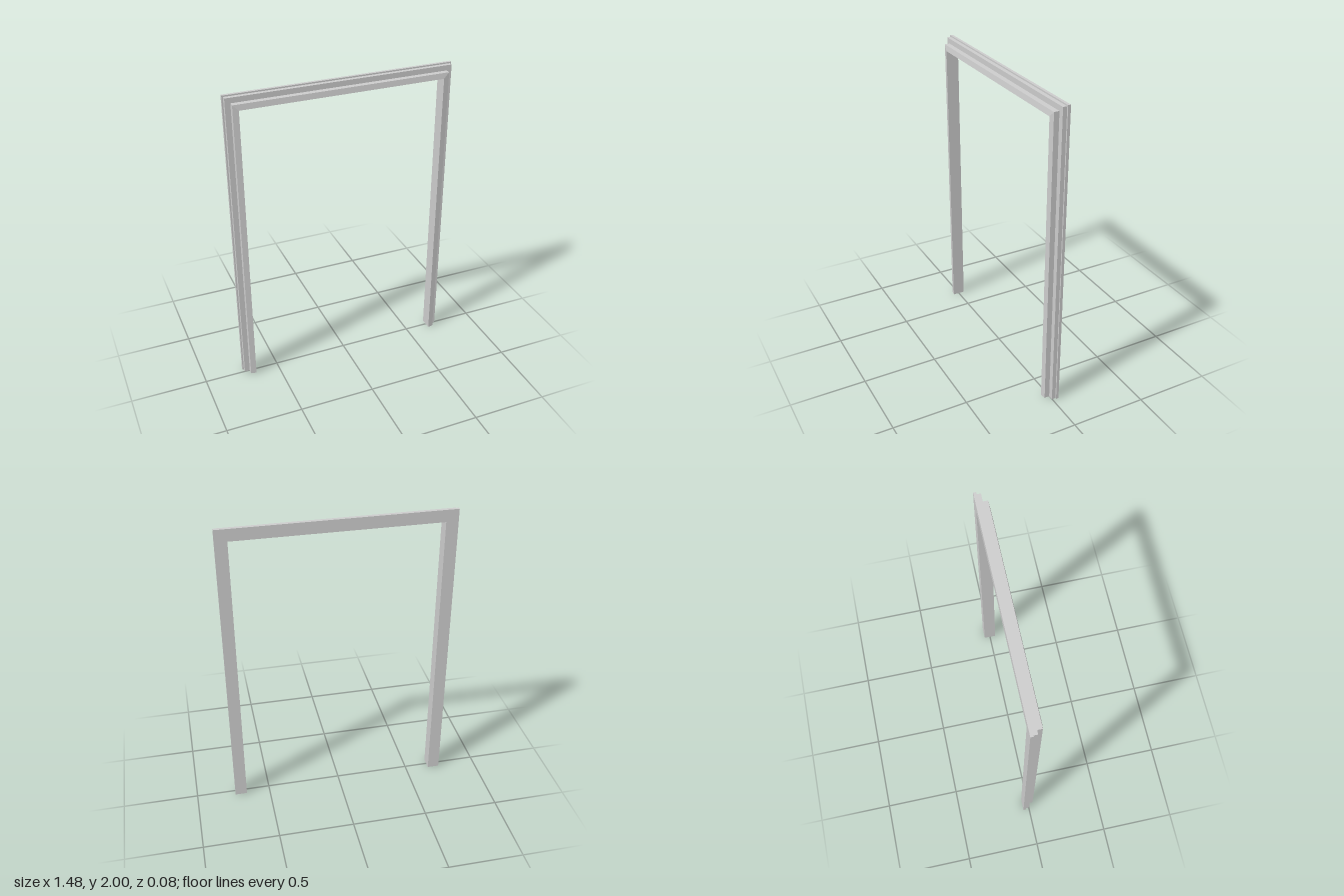
import * as THREE from 'three';

// Clear opening of the doorway
const HALF_WIDTH = 0.66;
const HEIGHT = 1.921;

// Stepped moulding section: [distance out from the opening, z]
const PROFILE = [
  [0, -0.042], [0.079, -0.042], [0.079, -0.024], [0.07, -0.024],
  [0.07, 0.002], [0.036, 0.002], [0.036, 0.036], [0, 0.042],
];

// Sections at the left foot, two mitred corners and right foot
function makeSections() {
  const stations = [[-1, false], [-1, true], [1, true], [1, false]];
  return stations.map(([side, top]) => PROFILE.map(([out, z]) =>
    new THREE.Vector3(side * (HALF_WIDTH + out), top ? HEIGHT + out : 0, z)));
}

function makeFrameGeometry() {
  const sections = makeSections();
  const positions = [];
  const tri = (...points) => points.forEach((p) => positions.push(p.x, p.y, p.z));
  const n = PROFILE.length;

  // Faces running along both jambs and the lintel
  for (let s = 0; s < sections.length - 1; s++) {
    for (let i = 0; i < n; i++) {
      const j = (i + 1) % n;
      const a = sections[s][i], b = sections[s][j];
      const c = sections[s + 1][j], d = sections[s + 1][i];
      tri(a, b, c);
      tri(a, c, d);
    }
  }

  // Undersides of the two feet
  const outline = PROFILE.map(([u, z]) => new THREE.Vector2(u, z));
  const first = sections[0], last = sections[sections.length - 1];
  for (const [a, b, c] of THREE.ShapeUtils.triangulateShape(outline, [])) {
    tri(first[a], first[c], first[b]);
    tri(last[a], last[b], last[c]);
  }

  const geometry = new THREE.BufferGeometry();
  geometry.setAttribute('position', new THREE.Float32BufferAttribute(positions, 3));
  geometry.computeVertexNormals();
  return geometry;
}

export function createModel() {
  const group = new THREE.Group();
  group.name = 'doorSurround';
  const material = new THREE.MeshStandardMaterial({ color: 0xcccccc, flatShading: true });
  const frame = new THREE.Mesh(makeFrameGeometry(), material);
  frame.name = 'mouldedFrame';
  group.add(frame);
  return group;
}
